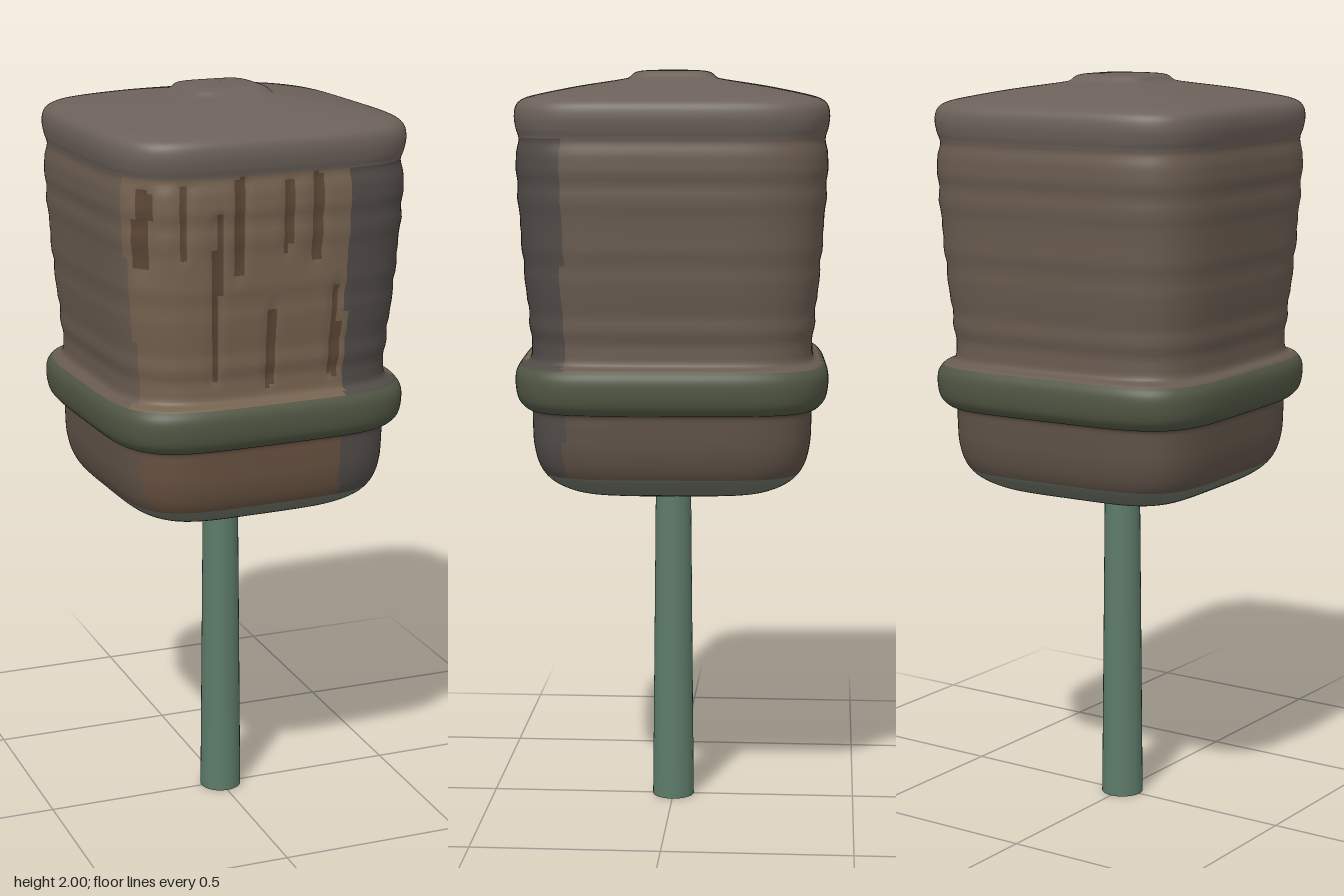
import * as THREE from 'three';

const SEG = 192;          // points around each cross-section
const TWIST = 0.045;      // the head sits slightly turned on its stem
const ROUND = 4.6;        // squareness of the cross-section

// Half width and height, from the underside up to the crown
const PROFILE = [
  [0.001, 0.865], [0.06, 0.865], [0.13, 0.867], [0.2, 0.88], [0.27, 0.895], [0.325, 0.925], [0.355, 0.965],
  [0.369, 1.02], [0.372, 1.08], [0.374, 1.115],
  [0.39, 1.123], [0.408, 1.145], [0.415, 1.18], [0.413, 1.215], [0.398, 1.238], [0.376, 1.25],
  [0.373, 1.29], [0.379, 1.36], [0.391, 1.48], [0.4, 1.6], [0.407, 1.71], [0.409, 1.77],
  [0.402, 1.82], [0.409, 1.85], [0.413, 1.88], [0.408, 1.908], [0.39, 1.925], [0.35, 1.937],
  [0.25, 1.957], [0.135, 1.975], [0.115, 1.981], [0.1, 1.993], [0.07, 1.998], [0.001, 2.0],
];

// Vertical grooves in the front bark: x, lower end, upper end, half width
const GROOVES = [
  [-0.34, 1.56, 1.82, 0.02], [-0.25, 1.6, 1.83, 0.016], [-0.16, 1.27, 1.75, 0.012], [-0.1, 1.55, 1.84, 0.016],
  [-0.01, 1.24, 1.5, 0.012], [0.03, 1.6, 1.83, 0.012], [0.11, 1.57, 1.84, 0.018], [0.17, 1.25, 1.55, 0.014],
];

const COLORS = {
  underside: 0x6a7063, base: 0x5e5146, frontBase: 0x65503f, band: 0x505643,
  bark: 0x685a4f, frontBark: 0x75624f, barkGrooves: 0x5a4535, darkStrip: 0x514b47, lid: 0x6c615a,
};

const smooth = THREE.MathUtils.smoothstep;
const onFront = (x, z) => z > 0.3 && Math.abs(x) < 0.38;

function grooveDepth(x, y) {
  let d = 0;
  for (const [gx, lo, hi, w] of GROOVES) {
    const across = Math.exp(-(((x - gx) / w) ** 2));
    d = Math.max(d, across * smooth(y, lo, lo + 0.06) * (1 - smooth(y, hi - 0.03, hi)));
  }
  return d;
}

// Which part of the head a surface point belongs to
function partAt(x, y, z) {
  const strip = x > 0.2 && z > 0.26;
  if (y < 0.95) return 'underside';
  if (y < 1.12) return strip ? 'darkStrip' : onFront(x, z) ? 'frontBase' : 'base';
  if (y < 1.235) return 'band';
  if (y > 1.83) return 'lid';
  if (strip) return 'darkStrip';
  if (!onFront(x, z)) return 'bark';
  return grooveDepth(x, y) > 0.5 ? 'barkGrooves' : 'frontBark';
}

// Rounded-square loft with shared smooth normals, split into named parts
function createHead() {
  const curve = new THREE.SplineCurve(PROFILE.map(([h, y]) => new THREE.Vector2(h, y)));
  const rows = curve.getPoints((PROFILE.length - 1) * 5);
  const pos = [];
  for (const { x: h, y } of rows) {
    const barkMask = smooth(y, 1.25, 1.3) * (1 - smooth(y, 1.78, 1.84));
    for (let j = 0; j < SEG; j++) {
      const a = (j / SEG) * Math.PI * 2;
      const s = Math.sin(a), c = Math.cos(a);
      let r = Math.max(h, 0.001) / (Math.abs(s) ** ROUND + Math.abs(c) ** ROUND) ** (1 / ROUND);
      const front = onFront(r * s, r * c);
      // Horizontal ripples all round, vertical grooves on the front
      r += barkMask * 0.0015 * (Math.sin(y * 95) + Math.sin(y * 57 + 1));
      if (front) r -= barkMask * 0.009 * grooveDepth(r * Math.sin(a + TWIST), y);
      pos.push(r * Math.sin(a + TWIST), y, r * Math.cos(a + TWIST));
    }
  }
  const faces = {}, all = [];
  for (let i = 0; i < rows.length - 1; i++) {
    for (let j = 0; j < SEG; j++) {
      const k = (j + 1) % SEG;
      const p = i * SEG + j, q = i * SEG + k, u = p + SEG, v = q + SEG;
      const mid = [0, 1, 2].map((n) => (pos[p * 3 + n] + pos[v * 3 + n]) / 2);
      const quad = [p, q, v, p, v, u];
      (faces[partAt(...mid)] ??= []).push(...quad);
      all.push(...quad);
    }
  }
  const whole = new THREE.BufferGeometry();
  whole.setAttribute('position', new THREE.Float32BufferAttribute(pos, 3));
  whole.setIndex(all);
  whole.computeVertexNormals();

  const head = new THREE.Group();
  head.name = 'head';
  for (const [name, index] of Object.entries(faces)) {
    const geo = new THREE.BufferGeometry();
    geo.setAttribute('position', whole.attributes.position);
    geo.setAttribute('normal', whole.attributes.normal);
    geo.setIndex(index);
    const mesh = new THREE.Mesh(geo, new THREE.MeshStandardMaterial({ color: COLORS[name] }));
    mesh.name = name;
    head.add(mesh);
  }
  return head;
}

// Thin stem, a touch wider toward the foot, with a flat end
function createStem() {
  const stem = new THREE.Group();
  stem.name = 'stem';
  const material = new THREE.MeshStandardMaterial({ color: 0x5c7a69 });
  const sections = [[0, 0.19, 0.057, 0.055], [0.19, 0.5, 0.055, 0.052], [0.5, 0.9, 0.052, 0.048]];
  sections.forEach(([lo, hi, r0, r1], i) => {
    const geo = new THREE.CylinderGeometry(r1, r0, hi - lo, 32, 1, i > 0);
    geo.translate(0, (lo + hi) / 2, 0);
    const mesh = new THREE.Mesh(geo, material);
    mesh.name = ['stemFoot', 'stemMiddle', 'stemTop'][i];
    stem.add(mesh);
  });
  return stem;
}

export function createModel() {
  const model = new THREE.Group();
  model.name = 'squareHeadOnStem';
  model.add(createHead(), createStem());
  return model;
}
